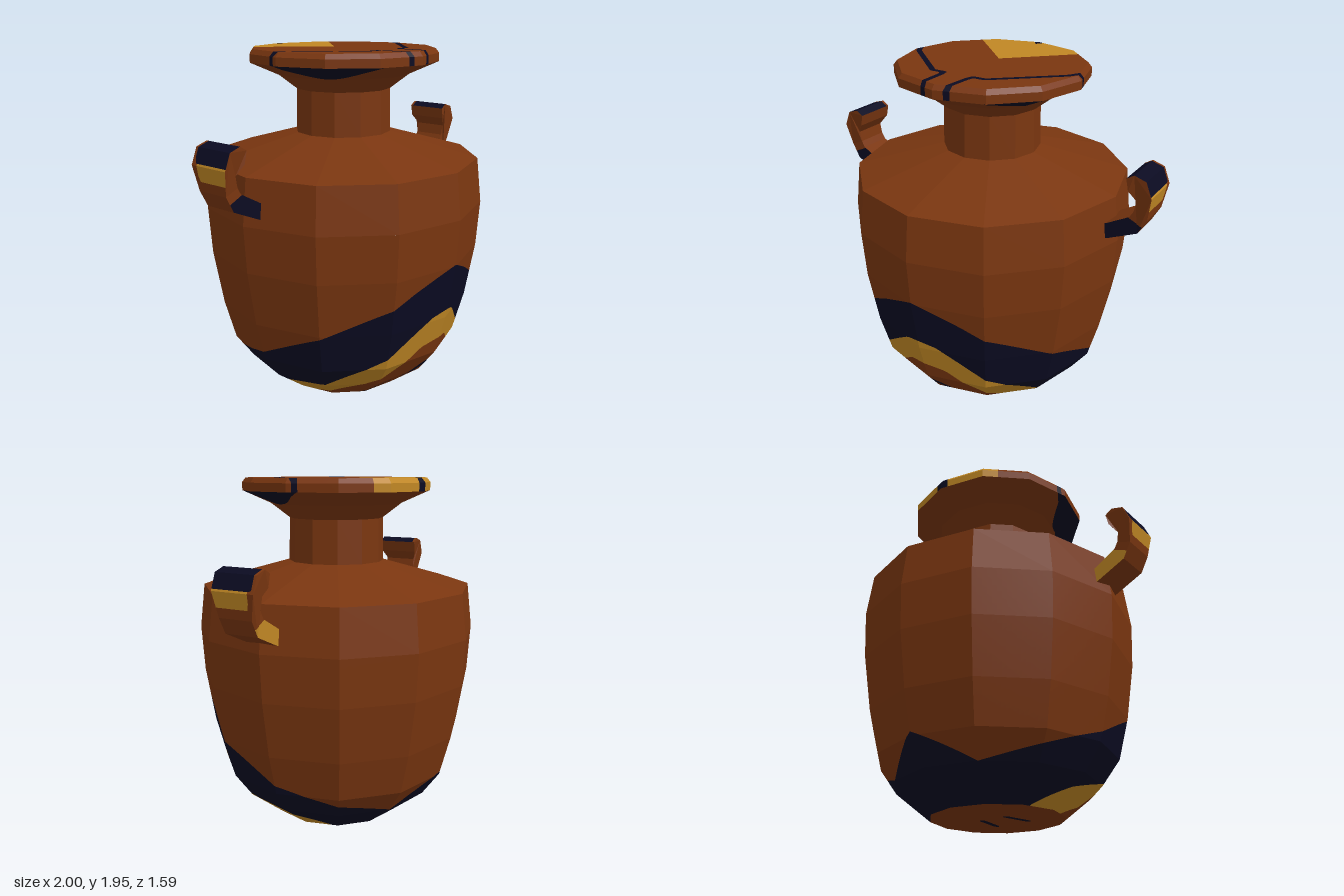
import * as THREE from 'three';

const mat = (name, color) => new THREE.MeshStandardMaterial({ name, color, flatShading: true });
const V2 = (a) => a.map(([x, y]) => new THREE.Vector2(x, y));

// Straight-line interpolation through [x, y] points
function curve(points, x) {
  for (let i = 1; i < points.length; i++) {
    const [x0, y0] = points[i - 1], [x1, y1] = points[i];
    if (x <= x1) return y0 + (y1 - y0) * (x - x0) / (x1 - x0);
  }
  return points[points.length - 1][1];
}

// Distance from (x, y) to a polyline
function lineDist(points, x, y) {
  let best = Infinity;
  for (let i = 1; i < points.length; i++) {
    const [ax, ay] = points[i - 1], [bx, by] = points[i];
    const dx = bx - ax, dy = by - ay;
    const t = Math.min(1, Math.max(0, ((x - ax) * dx + (y - ay) * dy) / (dx * dx + dy * dy)));
    best = Math.min(best, Math.hypot(x - ax - t * dx, y - ay - t * dy));
  }
  return best;
}

// Halve the longest edge until every triangle is small enough
function subdivide(tri, size, out) {
  let k = 0, len = 0;
  for (let i = 0; i < 3; i++) {
    const d = tri[i].distanceTo(tri[(i + 1) % 3]);
    if (d > len + 1e-9) { len = d; k = i; }
  }
  if (len <= size) { out.push(tri); return; }
  const a = tri[k], b = tri[(k + 1) % 3], c = tri[(k + 2) % 3];
  const m = a.clone().add(b).multiplyScalar(0.5);
  subdivide([a, m, c], size, out);
  subdivide([m, b, c], size, out);
}

// Part of a triangle where the sign * value is positive
function clip(tri, f, sign, out) {
  const poly = [];
  for (let i = 0; i < 3; i++) {
    const j = (i + 1) % 3, fi = f[i] * sign, fj = f[j] * sign;
    if (fi >= 0) poly.push(tri[i]);
    if ((fi >= 0) !== (fj >= 0)) poly.push(tri[i].clone().lerp(tri[j], fi / (fi - fj)));
  }
  for (let i = 2; i < poly.length; i++) out.push([poly[0], poly[i - 1], poly[i]]);
}

// Cut a geometry into one mesh per paint colour; layers are { material, f(p, normal) > 0 }
function paint(name, geometry, size, layers, base) {
  const group = new THREE.Group();
  group.name = name;
  const pos = (geometry.index ? geometry.toNonIndexed() : geometry).attributes.position;
  const buckets = new Map();
  for (let i = 0; i < pos.count; i += 3) {
    const face = [0, 1, 2].map((k) => new THREE.Vector3().fromBufferAttribute(pos, i + k));
    const n = new THREE.Triangle(...face).getNormal(new THREE.Vector3());
    if (n.lengthSq() < 0.5) continue;
    let rest = [];
    subdivide(face, size, rest);
    for (const { material, f } of [...layers, { material: base, f: () => 1 }]) {
      const next = [];
      if (!buckets.has(material)) buckets.set(material, []);
      const inside = buckets.get(material);
      for (const tri of rest) {
        const v = tri.map((p) => f(p, n) || 1e-9);
        if (v.every((q) => q > 0)) inside.push(tri);
        else if (v.every((q) => q < 0)) next.push(tri);
        else { clip(tri, v, 1, inside); clip(tri, v, -1, next); }
      }
      rest = next;
    }
  }
  for (const [material, tris] of buckets) {
    if (!tris.length) continue;
    const g = new THREE.BufferGeometry().setFromPoints(tris.flat());
    g.computeVertexNormals();
    const mesh = new THREE.Mesh(g, material);
    mesh.name = `${name} ${material.name}`;
    group.add(mesh);
  }
  return group;
}

export function createModel() {
  const clay = mat('clay brown', 0x7a3610);
  const gold = mat('ochre gold', 0xc08724);
  const navy = mat('dark navy', 0x0b0b22);
  const model = new THREE.Group();
  model.name = 'urn';
  const lathe = (pts) => new THREE.LatheGeometry(V2(pts), 12);

  // Chevron bands: height by angle in degrees away from the front
  const angle = (p) => Math.atan2(Math.abs(p.x), p.z) * 180 / Math.PI;
  const navyTop = [[0, 0.85], [20, 0.74], [30, 0.675], [60, 0.515], [90, 0.35], [120, 0.24], [150, 0.16], [180, 0.32]];
  const goldTop = [[0, 0.58], [8, 0.55], [30, 0.36], [60, 0.17], [90, 0.1], [115, 0], [125, -0.1], [180, -0.1]];
  const clayTop = [[0, 0.4], [10, 0.37], [30, 0.2], [60, 0.05], [75, 0], [90, -0.1], [180, -0.1]];
  const strokes = [[[0, 0.225], [0.085, 0.135]], [[0.13, 0.09], [0.16, 0.07], [0.2, -0.02]]];
  const band = (lo, hi) => (p, n) => n.y < -0.95 ? -1
    : Math.min(curve(hi, angle(p)) - p.y, p.y - curve(lo, angle(p)));
  const bands = [
    { material: navy, f: band(goldTop, navyTop) },
    { material: gold, f: band(clayTop, goldTop) },
  ];
  const marks = {
    material: navy,
    f: (p, n) => {
      const x = Math.abs(p.x);
      if (n.y < -0.95) return 0.016 - lineDist([[0.11, 0.13], [0.08, -0.03]], x, p.z);
      return p.z < 0 ? -1 : 0.016 - Math.min(...strokes.map((s) => lineDist(s, x, p.y)));
    },
  };

  // Body, shoulder and neck
  model.add(paint('base', lathe([[0, 0], [0.37, 0], [0.57, 0.16], [0.67, 0.3]]), 0.025, [marks, ...bands], clay));
  model.add(paint('belly', lathe([[0.67, 0.3], [0.73, 0.53], [0.78, 0.84], [0.795, 1.1]]), 0.04, bands, clay));
  model.add(paint('shoulder and neck',
    lathe([[0.795, 1.1], [0.765, 1.35], [0.27, 1.49], [0.265, 1.73]]), 2, [], clay));

  // Lip and closed top
  const topLine = [[0.56, -0.07], [0.51, -0.04], [0.47, 0.03], [0.16, 0.31], [0.09, 0.31], [0.08, 0.35], [0.075, 0.49], [0.06, 0.56]];
  const lipPaint = [
    { // patches under the flare
      material: navy,
      f: (p, n) => n.y > -0.1 ? -1 : p.y - 1.81 - 0.07 * ((angle(p) - 62) / 34) ** 2,
    },
    { // thin line over the top and rim
      material: navy,
      f: (p, n) => n.y < -0.1 ? -1 : 0.015 - lineDist(topLine, Math.abs(p.x), p.z),
    },
    { // small wedge at the back
      material: navy,
      f: (p, n) => n.y < -0.1 ? -1 : (-0.46 - p.z) * 0.7 - Math.abs(p.x),
    },
    { // gold fan
      material: gold,
      f: (p, n) => n.y < -0.1 ? -1 : -0.065 - p.z - Math.abs(p.x),
    },
  ];
  model.add(paint('lip', lathe([[0.265, 1.73], [0.37, 1.81], [0.53, 1.88], [0.53, 1.925], [0.51, 1.95], [0, 1.95]]),
    0.025, lipPaint, clay));

  // Curled handles, wider towards the tip
  const outline = [[0.7, 1.13], [0.77, 1.15], [0.935, 1.225], [0.98, 1.31], [1, 1.44], [0.965, 1.525], [0.9, 1.545],
    [0.86, 1.52], [0.875, 1.455], [0.915, 1.4], [0.905, 1.34], [0.885, 1.305], [0.76, 1.235], [0.7, 1.22]];
  for (const side of [1, -1]) {
    const g = new THREE.ExtrudeGeometry(new THREE.Shape(V2(outline.map(([x, y]) => [x * side, y]))),
      { depth: 2, bevelEnabled: false });
    g.translate(0, 0, -1);
    const pos = g.attributes.position;
    for (let i = 0; i < pos.count; i++) pos.setZ(i, pos.getZ(i) * (pos.getY(i) > 1.42 ? 0.12 : 0.095));
    const armEnd = (p) => 1.305 - p.y - (Math.abs(p.x) - 0.87) * 0.45;
    const handlePaint = [
      { material: navy, f: (p, n) => n.z > 0.6 ? armEnd(p) : -1 },
      { material: gold, f: (p, n) => n.z < -0.6 ? armEnd(p) : -1 },
      {
        material: navy,
        f: (p, n) => Math.abs(n.z) > 0.6 || (n.y < 0.2 && n.x * side < 0.2) ? -1 : Math.min(p.y - 1.45, p.z + 0.105),
      },
      {
        material: gold,
        f: (p, n) => Math.abs(n.z) > 0.6 || n.x * side < 0.5 ? -1 : Math.min(p.y - 1.36, p.z + 0.085),
      },
    ];
    model.add(paint(side > 0 ? 'left handle' : 'right handle', g, 0.05, handlePaint, clay));
  }
  return model;
}
